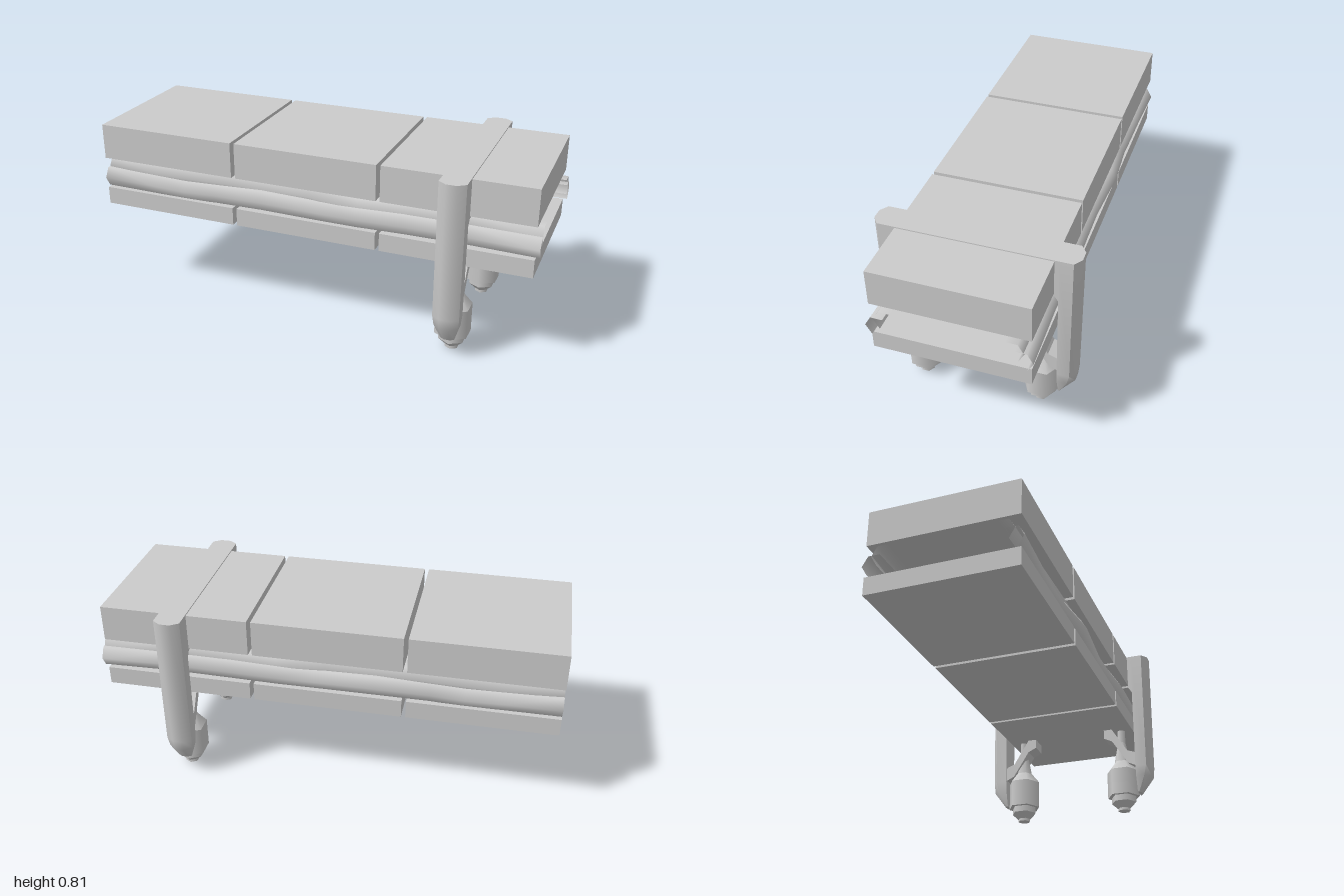
import * as THREE from 'three';
import { toCreasedNormals } from 'three/addons/utils/BufferGeometryUtils.js';

const grey = new THREE.MeshStandardMaterial({ color: 0xcccccc });
const thin = new THREE.MeshStandardMaterial({ color: 0xcccccc, side: THREE.DoubleSide });

function add(parent, name, geometry, material = grey) {
  const mesh = new THREE.Mesh(geometry, material);
  mesh.name = name;
  parent.add(mesh);
  return mesh;
}

// Skins equal-length rings of points; closed rings also get end caps.
function loft(rings, closed) {
  const n = rings[0].length;
  const index = [];
  for (let i = 0; i < rings.length - 1; i++) {
    for (let j = 0; j < (closed ? n : n - 1); j++) {
      const a = i * n + j, b = i * n + (j + 1) % n;
      index.push(a, b, a + n, b, b + n, a + n);
    }
  }
  if (closed) {
    const last = (rings.length - 1) * n;
    for (let j = 1; j < n - 1; j++) {
      index.push(0, j + 1, j, last, last + j, last + j + 1);
    }
  }
  const g = new THREE.BufferGeometry();
  g.setAttribute('position', new THREE.Float32BufferAttribute(rings.flat(2), 3));
  g.setIndex(index);
  g.computeVertexNormals();
  return g;
}

// Extrudes a (z, y) outline across x, centred on x = 0.
function plate(points, width) {
  const shape = new THREE.Shape(points.map(([z, y]) => new THREE.Vector2(z, y)));
  return new THREE.ExtrudeGeometry(shape, { depth: width, bevelEnabled: false })
    .rotateY(-Math.PI / 2).translate(width / 2, 0, 0);
}

// Open half-hexagon pipe shell along x; path points are [x, y, z].
function pipeShell(path) {
  const r = 0.05;
  return loft(path.map(([x, y, z]) => [-60, 0, 60, 120].map((deg) => {
    const a = THREE.MathUtils.degToRad(deg);
    return [x, y + r * Math.sin(a), z + r * Math.cos(a)];
  })), false);
}

// Outer upright with a rounded nose, tapering in at the foot.
function uprightGeometry() {
  const levels = [ // y, half width, shoulder z, nose z
    [0.083, 0.03, 0.35, 0.36],
    [0.16, 0.053, 0.385, 0.415],
    [0.21, 0.0575, 0.397, 0.42],
    [0.815, 0.0575, 0.4, 0.425],
  ];
  const rings = levels.map(([y, w, shoulder, nose]) => [
    [-w, y, 0.343], [-w, y, shoulder], [-w * 0.4, y, nose],
    [w * 0.4, y, nose], [w, y, shoulder], [w, y, 0.343],
  ]);
  return toCreasedNormals(loft(rings, true), 0.9);
}

// Six-sided thruster, stacked from short cylinders and cones.
function thruster() {
  const group = new THREE.Group();
  group.name = 'thruster';
  const stages = [ // name, bottom y, top y, bottom radius, top radius
    ['tip', 0, 0.013, 0.031, 0.031],
    ['nozzle', 0.013, 0.042, 0.031, 0.062],
    ['collar', 0.042, 0.072, 0.062, 0.062],
    ['body', 0.072, 0.205, 0.081, 0.081],
    ['shoulder', 0.205, 0.255, 0.081, 0.041],
    ['neck', 0.255, 0.36, 0.041, 0.02],
    ['stem', 0.36, 0.43, 0.02, 0.02],
  ];
  for (const [name, y0, y1, r0, r1] of stages) {
    add(group, name, new THREE.CylinderGeometry(r1, r0, y1 - y0, 6))
      .position.y = (y0 + y1) / 2;
  }
  group.position.z = 0.264;
  return group;
}

export function createModel() {
  const model = new THREE.Group();
  model.name = 'model';

  // Three upper blocks over three thinner lower slabs
  for (const [x0, x1] of [[-1, -0.355], [-0.336, 0.312], [0.33, 0.98]]) {
    for (const [name, y0, y1] of [['upperBlock', 0.65, 0.81], ['lowerSlab', 0.425, 0.505]]) {
      add(model, name, new THREE.BoxGeometry(x1 - x0, y1 - y0, 0.65))
        .position.set((x0 + x1) / 2, (y0 + y1) / 2, 0);
    }
  }

  // Wavy pipes between the layers, mirrored front to back
  const lower = [
    [-1, 0.556, 0.288], [-0.75, 0.549, 0.279], [-0.6, 0.543, 0.276], [-0.45, 0.55, 0.276],
    [-0.22, 0.562, 0.294], [0.05, 0.549, 0.276], [0.22, 0.55, 0.279], [0.43, 0.559, 0.287],
    [0.7, 0.558, 0.281], [1, 0.556, 0.288],
  ];
  const upper = [
    [-1, 0.595, 0.25], [-0.75, 0.597, 0.255], [-0.4, 0.606, 0.257], [0, 0.606, 0.25],
    [0.22, 0.585, 0.254], [0.45, 0.596, 0.257], [0.7, 0.596, 0.252], [1, 0.594, 0.252],
  ];
  for (const side of [1, -1]) {
    const pipes = new THREE.Group();
    pipes.name = side > 0 ? 'frontPipes' : 'backPipes';
    add(pipes, 'lowerPipe', pipeShell(lower), thin);
    add(pipes, 'upperPipe', pipeShell(upper), thin);
    pipes.scale.z = side;
    model.add(pipes);
  }

  // Bridge frame straddling the blocks
  const frame = new THREE.Group();
  frame.name = 'bridgeFrame';
  frame.position.x = 0.6525;
  add(frame, 'crossBeam', plate([
    [-0.345, 0.815], [-0.345, 0.61], [-0.325, 0.64],
    [0.325, 0.64], [0.345, 0.61], [0.345, 0.815],
  ], 0.115));

  // Upright, strut and thruster on each side
  for (const turn of [0, Math.PI]) {
    const leg = new THREE.Group();
    leg.name = turn ? 'backLeg' : 'frontLeg';
    leg.rotation.y = turn;
    add(leg, 'upright', uprightGeometry());
    add(leg, 'strut', plate([
      [0.347, 0.285], [0.302, 0.302], [0.225, 0.425], [0.184, 0.425],
      [0.184, 0.38], [0.225, 0.36], [0.305, 0.235], [0.347, 0.215],
    ], 0.09));
    leg.add(thruster());
    frame.add(leg);
  }
  model.add(frame);
  return model;
}
